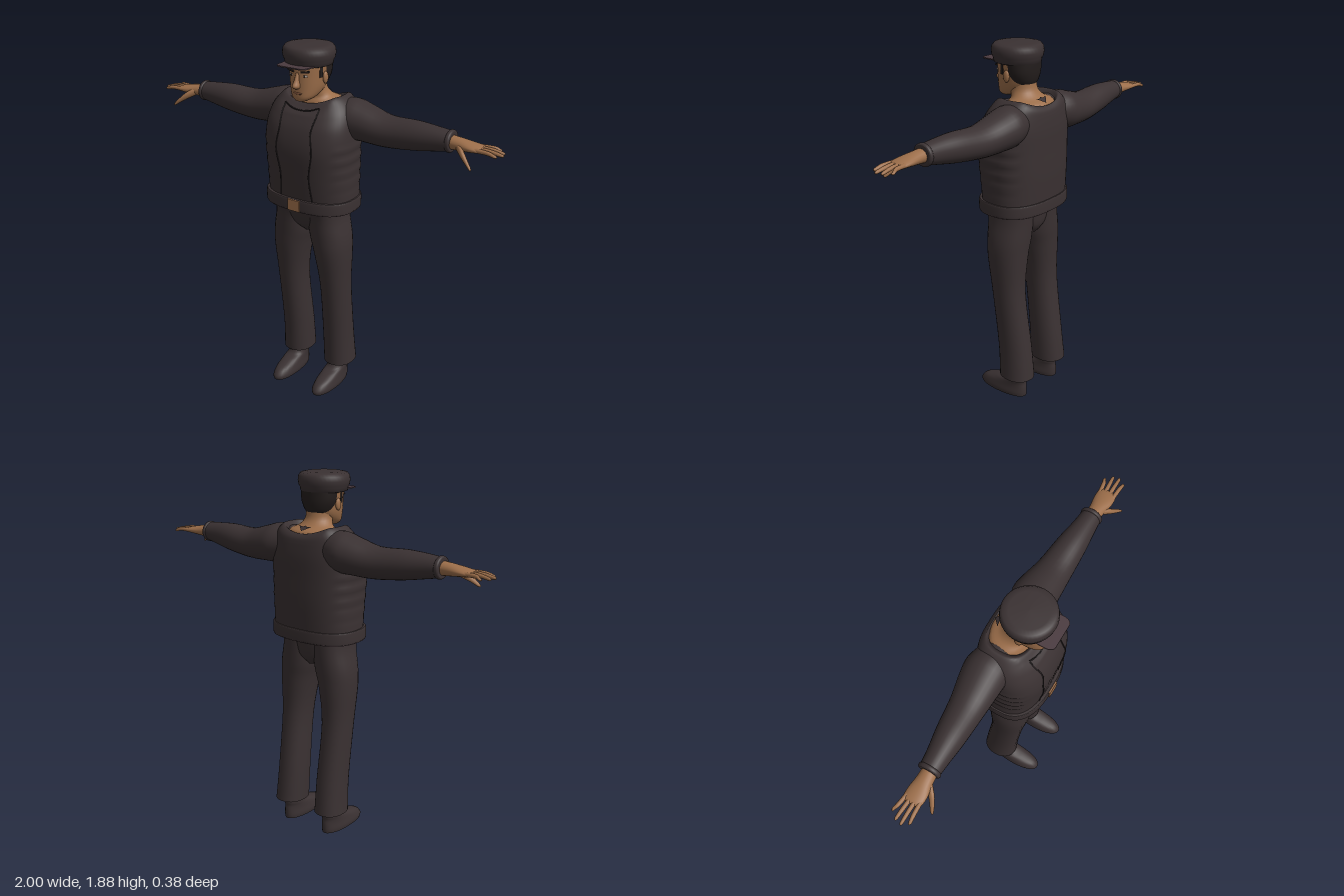
import * as THREE from 'three';

const paint = (name, color, side = THREE.FrontSide) =>
  Object.assign(new THREE.MeshStandardMaterial({ color, side }), { name });

// Loft of superellipse sections. Ring: [t, centreA, centreB, radiusA, radiusB].
// Axis 'y': A = x, B = z.  Axis 'x': A = z, B = y.
function loft(axis, rings, { n = 2, seg = 28, sub = 4, caps = true, deform } = {}) {
  const pos = [], idx = [], rows = [];
  const at = i => rings[Math.max(0, Math.min(rings.length - 1, i))];
  for (let i = 0; i < rings.length - 1; i++)
    for (let s = 0; s < sub; s++) {
      const u = s / sub;
      rows.push(rings[i].map((_, k) => {
        const [p, a, b, q] = [-1, 0, 1, 2].map(o => at(i + o)[k]);
        return a + 0.5 * u * (b - p + u * (2 * p - 5 * a + 4 * b - q + u * (3 * (a - b) + q - p)));
      }));
    }
  rows.push(at(rings.length));
  const put = (t, a, b) => {
    const v = axis === 'y' ? new THREE.Vector3(a, t, b) : new THREE.Vector3(t, b, a);
    if (deform) deform(v);
    return pos.push(v.x, v.y, v.z) / 3 - 1;
  };
  const bend = c => Math.sign(c) * Math.abs(c) ** (2 / n);
  const ring = ([t, ca, cb, ra, rb]) => Array.from({ length: seg }, (_, j) => {
    const w = j / seg * Math.PI * 2;
    return put(t, ca + ra * bend(Math.cos(w)), cb + rb * bend(Math.sin(w)));
  });
  const ids = rows.map(ring);
  for (let i = 0; i < ids.length - 1; i++)
    for (let j = 0; j < seg; j++) {
      const k = (j + 1) % seg, [a, b] = [ids[i], ids[i + 1]];
      idx.push(a[j], b[j], a[k], a[k], b[j], b[k]);
    }
  if (caps) [rows[0], rows.at(-1)].forEach((r, end) => {
    const e = ring(r), c = put(r[0], r[1], r[2]);
    for (let j = 0; j < seg; j++) {
      const k = (j + 1) % seg;
      idx.push(c, end ? e[k] : e[j], end ? e[j] : e[k]);
    }
  });
  const g = new THREE.BufferGeometry();
  g.setAttribute('position', new THREE.Float32BufferAttribute(pos, 3));
  g.setIndex(idx);
  g.computeVertexNormals();
  return g;
}

// Copy reflected across x = 0, with corner order restored
function mirror(geo) {
  const g = geo.clone().scale(-1, 1, 1), a = g.index.array;
  for (let i = 0; i < a.length; i += 3) [a[i], a[i + 1]] = [a[i + 1], a[i]];
  g.computeVertexNormals();
  return g;
}

export function createModel() {
  const model = new THREE.Group();
  model.name = 'standingMan';
  const cloth = paint('darkCloth', 0x3a3132, THREE.DoubleSide);
  const lining = paint('lining', 0x4a3a3f, THREE.DoubleSide);
  const seam = paint('seam', 0x221d1e);
  const skin = paint('skin', 0x9c6e4a);
  const hair = paint('hair', 0x231d1c);
  const lips = paint('lips', 0x7c5039);
  const white = paint('eyeWhite', 0xb5aaa2);

  const add = (name, geo, mat) => {
    const m = new THREE.Mesh(geo, mat);
    m.name = name;
    model.add(m);
    return m;
  };
  const pair = (name, geo, mat) => {
    add(name + 'Left', geo, mat);
    add(name + 'Right', mirror(geo), mat);
  };
  const blob = (x, y, z, sx, sy, sz) => new THREE.SphereGeometry(1, 16, 12).scale(sx, sy, sz).translate(x, y, z);

  // Jacket body, scooped at the neck and rippled at the sides
  add('jacket', loft('y', [
    [1.09, 0, -0.02, 0.238, 0.16], [1.25, 0, -0.015, 0.24, 0.174], [1.38, 0, -0.01, 0.243, 0.18],
    [1.48, 0, -0.018, 0.24, 0.172], [1.55, 0, -0.032, 0.225, 0.152], [1.6, 0, -0.045, 0.195, 0.132],
    [1.632, 0, -0.048, 0.155, 0.112], [1.615, 0, -0.05, 0.13, 0.1],
  ], { n: 2.6, seg: 48, sub: 8, caps: false, deform: v => {
    if (v.y > 1.16 && v.y < 1.42 && Math.abs(v.x) > 0.19) v.x *= 1 + 0.012 * Math.sin(v.y * 100);
    const s = THREE.MathUtils.clamp((v.y - 1.55) / 0.08, 0, 1);
    v.y -= 0.035 * s * Math.max(0, 1 - (v.x / 0.14) ** 2);
  } }), cloth);
  const band = [0, -0.015, 0.246, 0.173];
  add('waistband', loft('y', [[1.06, ...band], [1.066, 0, -0.015, 0.249, 0.176],
    [1.112, 0, -0.015, 0.249, 0.176], [1.12, ...band]], { n: 2.6, seg: 48 }), cloth);
  add('jacketUnderside', loft('y', [[1.056, ...band], [1.06, ...band]], { n: 2.6, seg: 48, sub: 1 }), lining);
  add('buckle', new THREE.BoxGeometry(0.07, 0.058, 0.009).translate(0, 1.09, 0.163), skin);

  // Front panel seams and neckline seam
  const tube = pts => new THREE.TubeGeometry(
    new THREE.CatmullRomCurve3(pts.map(p => new THREE.Vector3(...p))), 32, 0.0035, 6);
  pair('panelSeam', tube([[0.1, 1.585, 0.085], [0.1, 1.55, 0.113], [0.092, 1.48, 0.149], [0.105, 1.38, 0.162],
    [0.085, 1.25, 0.155], [0.095, 1.12, 0.138]]), seam);
  add('necklineSeam', tube([[-0.1, 1.59, 0.083], [-0.05, 1.573, 0.097], [0, 1.568, 0.1],
    [0.05, 1.573, 0.097], [0.1, 1.59, 0.083]]), seam);

  // Sleeves and cuffs
  pair('sleeve', loft('x', [
    [0.1, -0.06, 1.53, 0.09, 0.08], [0.2, -0.075, 1.52, 0.108, 0.1], [0.28, -0.075, 1.508, 0.103, 0.092],
    [0.4, -0.068, 1.492, 0.087, 0.078], [0.55, -0.06, 1.502, 0.073, 0.072],
    [0.66, -0.054, 1.509, 0.058, 0.059], [0.74, -0.052, 1.513, 0.05, 0.047],
  ]), cloth);
  pair('cuff', loft('x', [[0.722, -0.052, 1.513, 0.05, 0.048], [0.728, -0.052, 1.513, 0.056, 0.054],
    [0.74, -0.052, 1.513, 0.055, 0.053], [0.745, -0.052, 1.513, 0.049, 0.047]]), cloth);

  // Hands: palm, four fingers, thumb
  pair('palm', loft('x', [
    [0.7, -0.05, 1.512, 0.036, 0.036], [0.78, -0.047, 1.51, 0.04, 0.03], [0.84, -0.045, 1.508, 0.049, 0.022],
    [0.885, -0.046, 1.506, 0.047, 0.015], [0.9, -0.046, 1.505, 0.036, 0.008],
  ], { seg: 20 }), skin);
  [[-0.08, -0.098, 0.965], [-0.057, -0.066, 0.993], [-0.034, -0.035, 1], [-0.011, -0.004, 0.98]]
    .forEach(([z0, z1, tip], i) => pair('finger' + (i + 1), loft('x', [
      [0.865, z0, 1.507, 0.011, 0.011], [0.93, (z0 + z1) / 2, 1.508, 0.0105, 0.01],
      [tip - 0.012, z1, 1.5, 0.008, 0.008], [tip, z1, 1.498, 0.003, 0.003],
    ], { seg: 10, sub: 3 }), skin));
  pair('thumb', loft('x', [
    [0.775, -0.03, 1.508, 0.018, 0.02], [0.815, 0.004, 1.487, 0.018, 0.02], [0.85, 0.027, 1.46, 0.013, 0.014],
    [0.875, 0.04, 1.438, 0.009, 0.009], [0.883, 0.044, 1.432, 0.003, 0.003],
  ], { seg: 12 }), skin);

  // Trousers
  pair('trouserLeg', loft('y', [
    [0.12, 0.135, -0.08, 0.081, 0.095], [0.3, 0.132, -0.064, 0.077, 0.09], [0.6, 0.135, -0.027, 0.077, 0.088],
    [0.8, 0.126, -0.013, 0.095, 0.105], [0.9, 0.112, -0.012, 0.105, 0.113],
    [1, 0.098, -0.01, 0.1, 0.12], [1.08, 0.092, -0.002, 0.1, 0.134],
  ], { n: 2.2 }), cloth);
  add('hips', loft('y', [[0.915, 0, -0.02, 0.03, 0.07], [0.97, 0, -0.012, 0.13, 0.112],
    [1.08, 0, 0, 0.188, 0.138]]), cloth);

  // Shoes
  pair('shoe', loft('y', [
    [0, 0.131, 0.015, 0.054, 0.148], [0.02, 0.131, 0.015, 0.057, 0.15], [0.05, 0.131, 0, 0.053, 0.134],
    [0.075, 0.131, -0.033, 0.05, 0.098], [0.1, 0.131, -0.066, 0.048, 0.067], [0.17, 0.131, -0.07, 0.046, 0.06],
  ], { n: 2.2 }), cloth);

  // Neck and upper back, with a dark patch at the nape
  add('neck', loft('y', [
    [1.55, 0, -0.05, 0.165, 0.11], [1.6, 0, -0.055, 0.135, 0.098], [1.625, 0, -0.037, 0.09, 0.073],
    [1.66, 0, -0.015, 0.069, 0.067], [1.71, 0, -0.005, 0.07, 0.07],
  ]), skin);
  const patch = new THREE.Shape([[0, -0.022], [0.04, 0.02], [0.012, 0.012], [0, 0.022], [-0.012, 0.012], [-0.04, 0.02]]
    .map(p => new THREE.Vector2(...p)));
  add('napePatch', new THREE.ShapeGeometry(patch).rotateX(1.05).translate(0, 1.619, -0.135), cloth);

  // Head and face
  add('head', loft('y', [
    [1.617, 0, 0.085, 0.03, 0.032], [1.637, 0, 0.062, 0.059, 0.062], [1.68, 0, 0.03, 0.079, 0.095],
    [1.74, 0, 0.022, 0.088, 0.103], [1.8, 0, 0.018, 0.094, 0.105], [1.84, 0, 0.018, 0.09, 0.1],
  ], { n: 2.2 }), skin);
  add('nose', loft('y', [
    [1.682, 0, 0.128, 0.012, 0.015], [1.695, 0, 0.132, 0.018, 0.027],
    [1.72, 0, 0.127, 0.012, 0.018], [1.758, 0, 0.118, 0.009, 0.01],
  ], { seg: 16 }), skin);
  add('mouth', blob(0, 1.657, 0.121, 0.026, 0.006, 0.006), lips);
  pair('ear', blob(0.092, 1.727, 0.02, 0.011, 0.03, 0.018), skin);
  pair('eyeWhite', blob(0.038, 1.744, 0.114, 0.015, 0.006, 0.006), white);
  pair('iris', blob(0.038, 1.744, 0.118, 0.006, 0.006, 0.004), hair);
  pair('eyebrow', new THREE.BoxGeometry(0.042, 0.008, 0.009)
    .rotateZ(0.12).rotateY(0.28).translate(0.04, 1.764, 0.117), hair);

  // Hair and sideburns
  add('hair', loft('y', [[1.69, 0, -0.015, 0.068, 0.062], [1.71, 0, -0.017, 0.08, 0.068],
    [1.75, 0, -0.016, 0.095, 0.075], [1.82, 0, -0.012, 0.1, 0.08]]), hair);
  pair('sideburn', new THREE.BoxGeometry(0.008, 0.065, 0.02).rotateY(-0.25).translate(0.086, 1.765, 0.05), hair);

  // Cap with flat brim
  add('cap', new THREE.LatheGeometry([
    [0, 1.785], [0.106, 1.785], [0.117, 1.79], [0.12, 1.808], [0.126, 1.818], [0.13, 1.84],
    [0.127, 1.862], [0.116, 1.876], [0.09, 1.881], [0, 1.883],
  ].map(p => new THREE.Vector2(...p)), 40).translate(0, 0, 0.024), cloth);
  const brim = new THREE.Shape();
  brim.moveTo(-0.085, 0.08);
  brim.lineTo(0.085, 0.08);
  brim.lineTo(0.085, 0.155);
  brim.quadraticCurveTo(0.08, 0.187, 0.06, 0.188);
  brim.lineTo(-0.06, 0.188);
  brim.quadraticCurveTo(-0.08, 0.187, -0.085, 0.155);
  add('capBrim', new THREE.ExtrudeGeometry(brim, { depth: 0.006, bevelEnabled: false })
    .rotateX(Math.PI / 2).translate(0, 1.797, 0), lining);

  return model;
}
